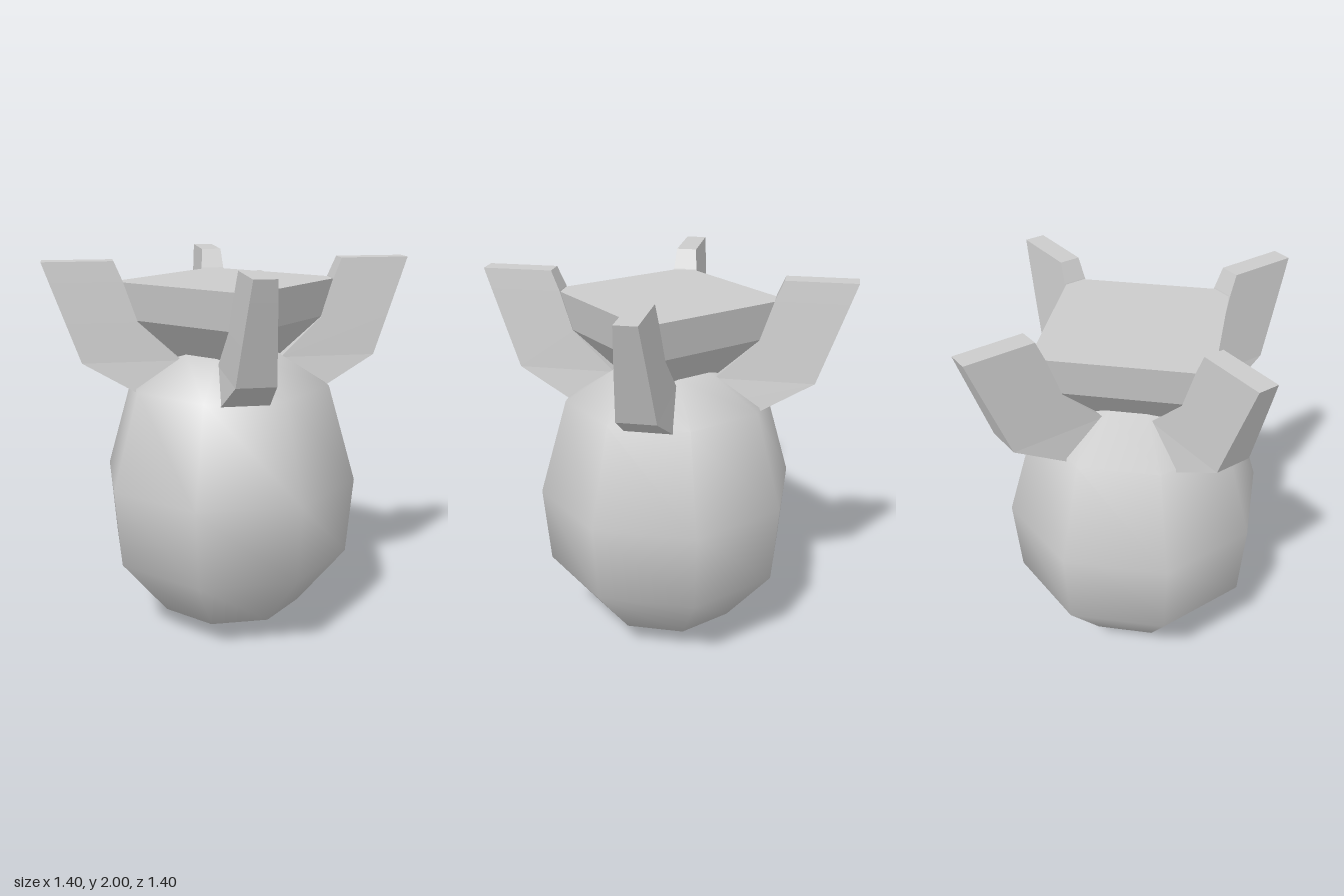
import * as THREE from 'three';

const grey = (flatShading) => new THREE.MeshStandardMaterial({ color: 0xcccccc, flatShading });

// Lathe with few sides; the profile gives [distance to the flat side, height]
function facetedLathe(profile, sides, flat) {
  const k = 1 / Math.cos(Math.PI / sides);
  const points = profile.map(([r, y]) => new THREE.Vector2(r * k, y));
  const geometry = new THREE.LatheGeometry(points, sides, Math.PI / sides);
  return new THREE.Mesh(geometry, grey(flat));
}

// Fin pointing along +x, lofted upwards through [y, inner x, outer x, half width]
function finGeometry() {
  const rows = [
    [1.35, 0.2, 0.5, 0.12],
    [1.5, 0.26, 0.76, 0.095],
    [1.7, 0.474, 0.831, 0.079],
    [1.9, 0.541, 0.902, 0.062],
    [2, 0.583, 0.937, 0.053],
  ];
  const positions = [];
  const index = [];
  for (const [y, a, b, h] of rows) {
    positions.push(a, y, h, b, y, h, b, y, -h, a, y, -h);
  }
  for (let i = 0; i < rows.length - 1; i++) {
    for (let j = 0; j < 4; j++) {
      const p = i * 4 + j;
      const q = i * 4 + ((j + 1) % 4);
      index.push(p, q, q + 4, p, q + 4, p + 4);
    }
  }
  const t = (rows.length - 1) * 4;
  index.push(0, 2, 1, 0, 3, 2, t, t + 1, t + 2, t, t + 2, t + 3);
  const geometry = new THREE.BufferGeometry();
  geometry.setAttribute('position', new THREE.Float32BufferAttribute(positions, 3));
  geometry.setIndex(index);
  const flat = geometry.toNonIndexed();
  flat.computeVertexNormals();
  return flat;
}

export function createModel() {
  const model = new THREE.Group();
  model.name = 'finnedPod';

  // Smooth eight-sided body
  const body = facetedLathe(
    [[0, 0], [0.365, 0.135], [0.6, 0.455], [0.63, 0.865], [0.493, 1.365], [0.235, 1.53], [0, 1.58]],
    8, false);
  body.name = 'body';
  model.add(body);

  // Square platform, tapering down into the body
  const platform = facetedLathe(
    [[0, 1.4], [0.12, 1.4], [0.235, 1.53], [0.388, 1.705], [0.42, 1.895], [0, 1.895]],
    4, true);
  platform.name = 'platform';
  model.add(platform);

  // Four diagonal fins
  const geometry = finGeometry();
  const names = ['backLeftFin', 'backRightFin', 'frontRightFin', 'frontLeftFin'];
  names.forEach((name, i) => {
    const fin = new THREE.Mesh(geometry, grey(true));
    fin.name = name;
    fin.rotation.y = Math.PI / 4 + (i * Math.PI) / 2;
    model.add(fin);
  });

  return model;
}
